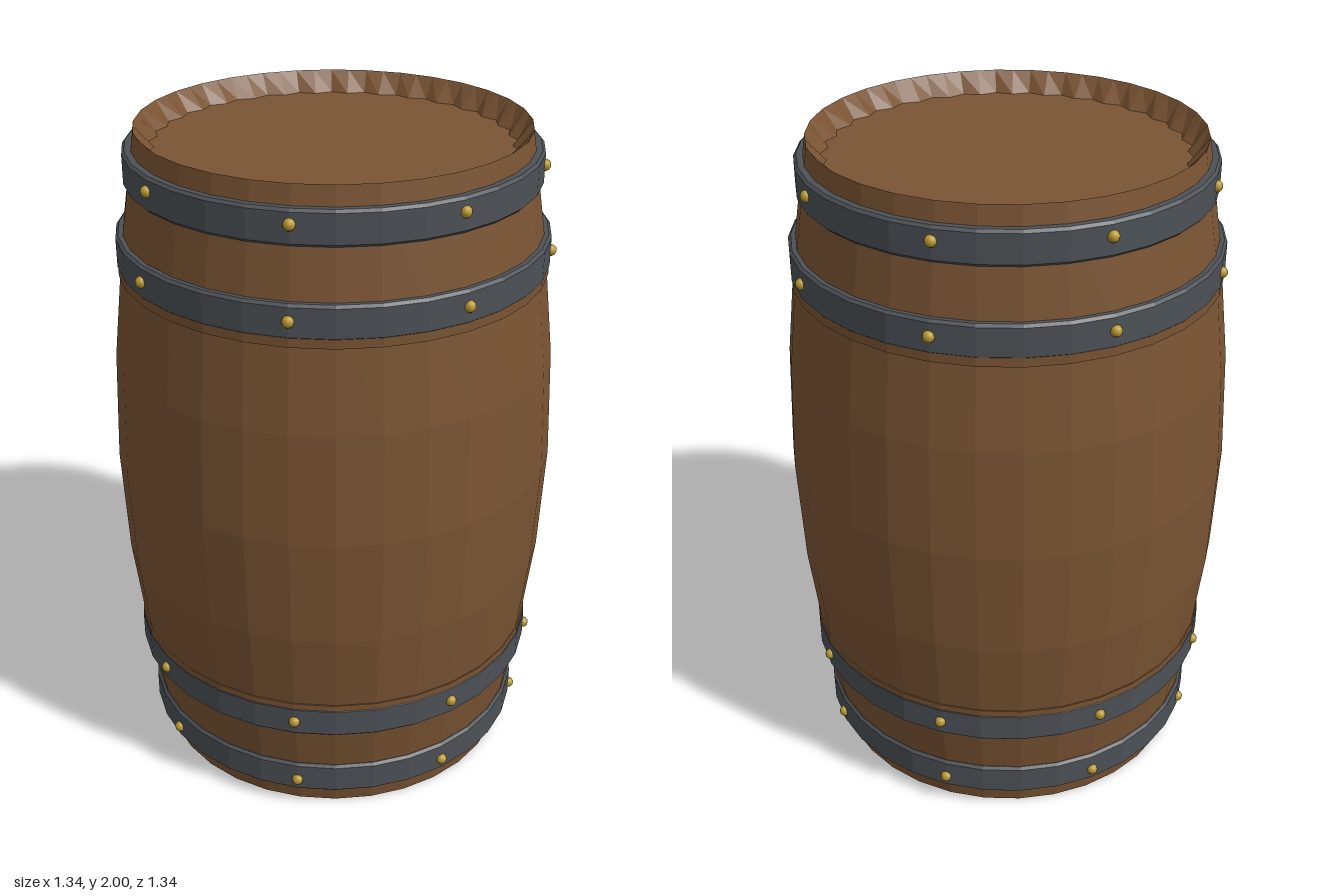
import * as THREE from 'three';

const SIDES = 32;
const paint = (color) => new THREE.MeshStandardMaterial({ color, flatShading: true });
const v2 = (points) => points.map(([r, y]) => new THREE.Vector2(r, y));

export function createModel() {
  const barrel = new THREE.Group();
  barrel.name = 'barrel';
  const wood = paint(0x7a5433);
  const iron = paint(0x4c5156);
  const brass = new THREE.MeshStandardMaterial({ color: 0xb8962e });

  const add = (name, geometry, material) => {
    const mesh = new THREE.Mesh(geometry, material);
    mesh.name = name;
    barrel.add(mesh);
    return mesh;
  };
  const bulge = (y) => 0.565 + 0.105 * Math.sin((Math.PI * y) / 2);

  // Bulging wall
  const wall = [];
  for (let i = 0; i <= 6; i++) wall.push([bulge(i / 3), i / 3]);
  add('staves', new THREE.LatheGeometry(v2(wall), SIDES), wood);

  // Recessed heads with a scalloped inner bevel, one scallop per stave
  const makeHead = (points) => {
    const geometry = new THREE.LatheGeometry(v2(points), SIDES * 2);
    const pos = geometry.attributes.position;
    for (let i = 0; i < pos.count; i++) {
      const segment = Math.floor(i / points.length);
      if (segment % 2 === 0) continue;
      const r = points[i % points.length][0];
      const k = r > 0.55 ? Math.cos(Math.PI / SIDES) : 0.965;
      pos.setX(i, pos.getX(i) * k);
      pos.setZ(i, pos.getZ(i) * k);
    }
    geometry.computeVertexNormals();
    return geometry;
  };
  add('topHead', makeHead([[0.565, 2], [0.525, 1.94], [0, 1.94]]), wood);
  add('bottomHead', makeHead([[0, 0.06], [0.525, 0.06], [0.565, 0]]), wood);

  // Hoops with chamfered edges, and eight rivets on each
  const rivetShape = new THREE.SphereGeometry(0.017, 12, 8);
  const hoops = [
    ['topHoop', 1.895, 0.6, 1.905],
    ['upperHoop', 1.652, 0.633, 1.655],
    ['lowerHoop', 0.355, 0.633, 0.355],
    ['bottomHoop', 0.11, 0.6, 0.102],
  ];
  for (const [name, y, r, rivetY] of hoops) {
    const h = 0.05, inner = r - 0.04, c = 0.008;
    const profile = [
      [inner, y - h], [r - c, y - h], [r, y - h + c],
      [r, y + h - c], [r - c, y + h], [inner, y + h],
    ];
    add(name, new THREE.LatheGeometry(v2(profile), SIDES), iron);
    for (let i = 0; i < 8; i++) {
      const a = (i * Math.PI) / 4;
      add(name + 'Rivet', rivetShape, brass)
        .position.set(r * Math.sin(a), rivetY, r * Math.cos(a));
    }
  }

  // Narrow wooden ledges beside the two middle hoops
  for (const y of [0.405, 1.595]) {
    const profile = [[0.6, y - 0.014], [0.631, y - 0.014], [0.631, y + 0.014], [0.6, y + 0.014]];
    add('ledge', new THREE.LatheGeometry(v2(profile), SIDES), wood);
  }
  return barrel;
}
